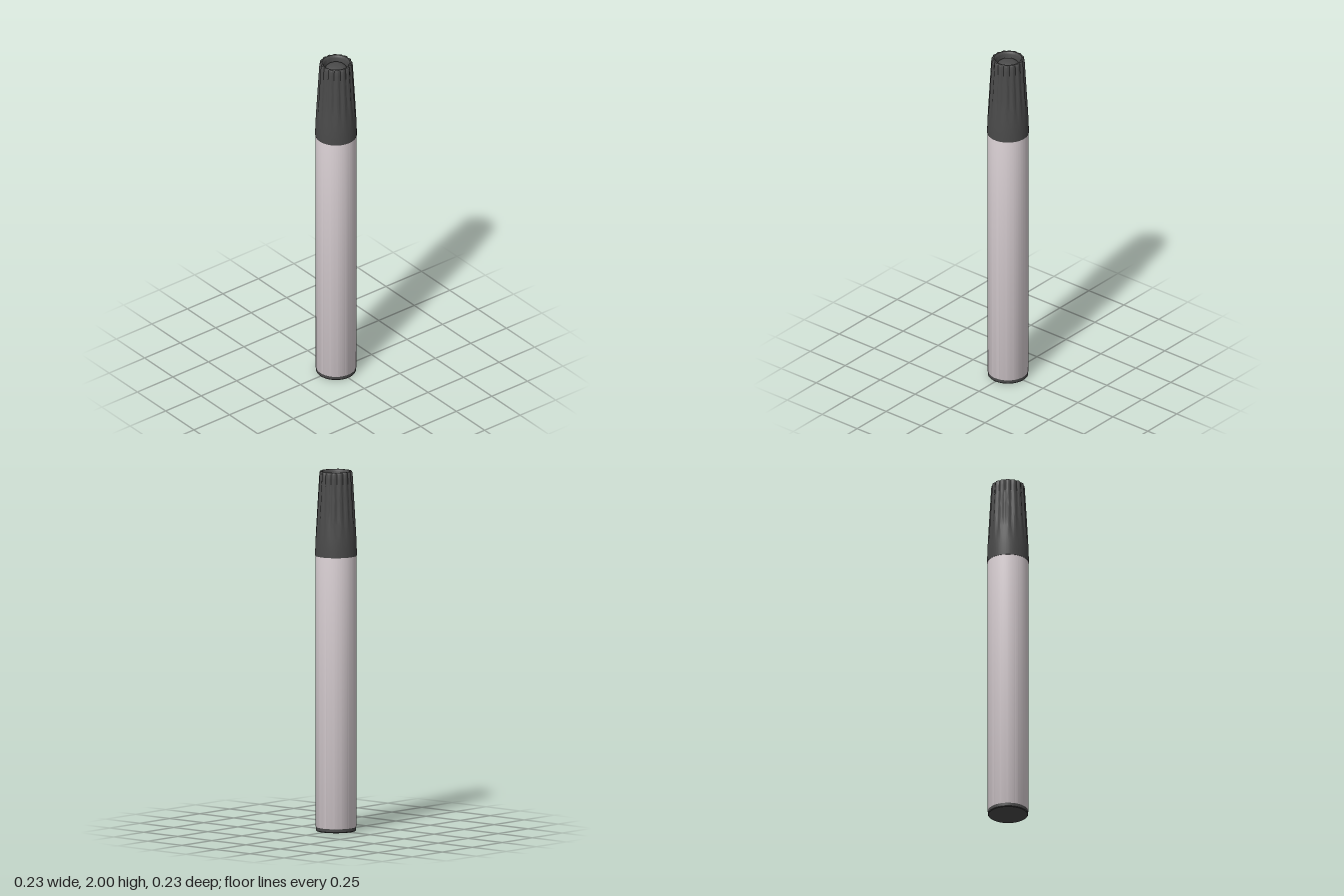
import * as THREE from 'three';
import { toCreasedNormals } from 'three/addons/utils/BufferGeometryUtils.js';

const SEGMENTS = 128;
const FLUTES = 16;

// Turns a [radius, height] profile (bottom to top) around the y axis
function turn(profile) {
  return new THREE.LatheGeometry(profile.map(([r, y]) => new THREE.Vector2(r, y)), SEGMENTS);
}

// Presses shallow grooves into the outside of the cap, deepening upwards
function flute(geometry) {
  const pos = geometry.attributes.position;
  for (let i = 0; i < pos.count; i++) {
    const x = pos.getX(i), y = pos.getY(i), z = pos.getZ(i);
    const r = Math.hypot(x, z);
    if (r < 0.08) continue;
    const depth = 0.007 * THREE.MathUtils.smoothstep(y, 1.6, 1.8);
    const wave = Math.pow(0.5 + 0.5 * Math.cos(FLUTES * Math.atan2(z, x)), 1.5);
    const k = 1 - depth * wave / r;
    pos.setXYZ(i, x * k, y, z * k);
  }
  return geometry;
}

function part(name, geometry, color) {
  const material = new THREE.MeshStandardMaterial({ color });
  const mesh = new THREE.Mesh(toCreasedNormals(geometry, 0.6), material);
  mesh.name = name;
  return mesh;
}

export function createModel() {
  const pen = new THREE.Group();
  pen.name = 'markerPen';

  // Plug closing the bottom end
  pen.add(part('endPlug', turn([[0, 0], [0.108, 0], [0.111, 0.004], [0.111, 0.022], [0, 0.022]]), 0x4a4a4a));

  // Straight barrel
  pen.add(part('barrel', turn([
    [0.105, 0.022], [0.111, 0.022], [0.113, 0.026], [0.113, 1.53], [0.1, 1.535],
  ]), 0xe0d6da));

  // Tapered side of the cap
  const capProfile = [[0.1, 1.53], [0.1145, 1.53], [0.1145, 1.56]];
  for (let i = 0; i <= 14; i++) {
    const t = i / 14;
    capProfile.push([0.1135 - 0.0215 * Math.pow(t, 1.1), 1.6 + 0.39 * t]);
  }
  // Rounded rim and the recess inside it
  capProfile.push([0.0905, 1.996], [0.087, 2], [0.076, 2], [0.071, 1.996], [0.067, 1.985], [0.065, 1.955], [0.061, 1.955]);
  // Domed button in the recess
  for (let i = 0; i <= 10; i++) {
    const a = (i / 10) * Math.PI / 2;
    capProfile.push([i === 10 ? 0 : 0.06 * Math.cos(a), 1.957 + 0.03 * Math.sin(a)]);
  }
  pen.add(part('cap', flute(turn(capProfile)), 0x4a4a4a));

  return pen;
}
